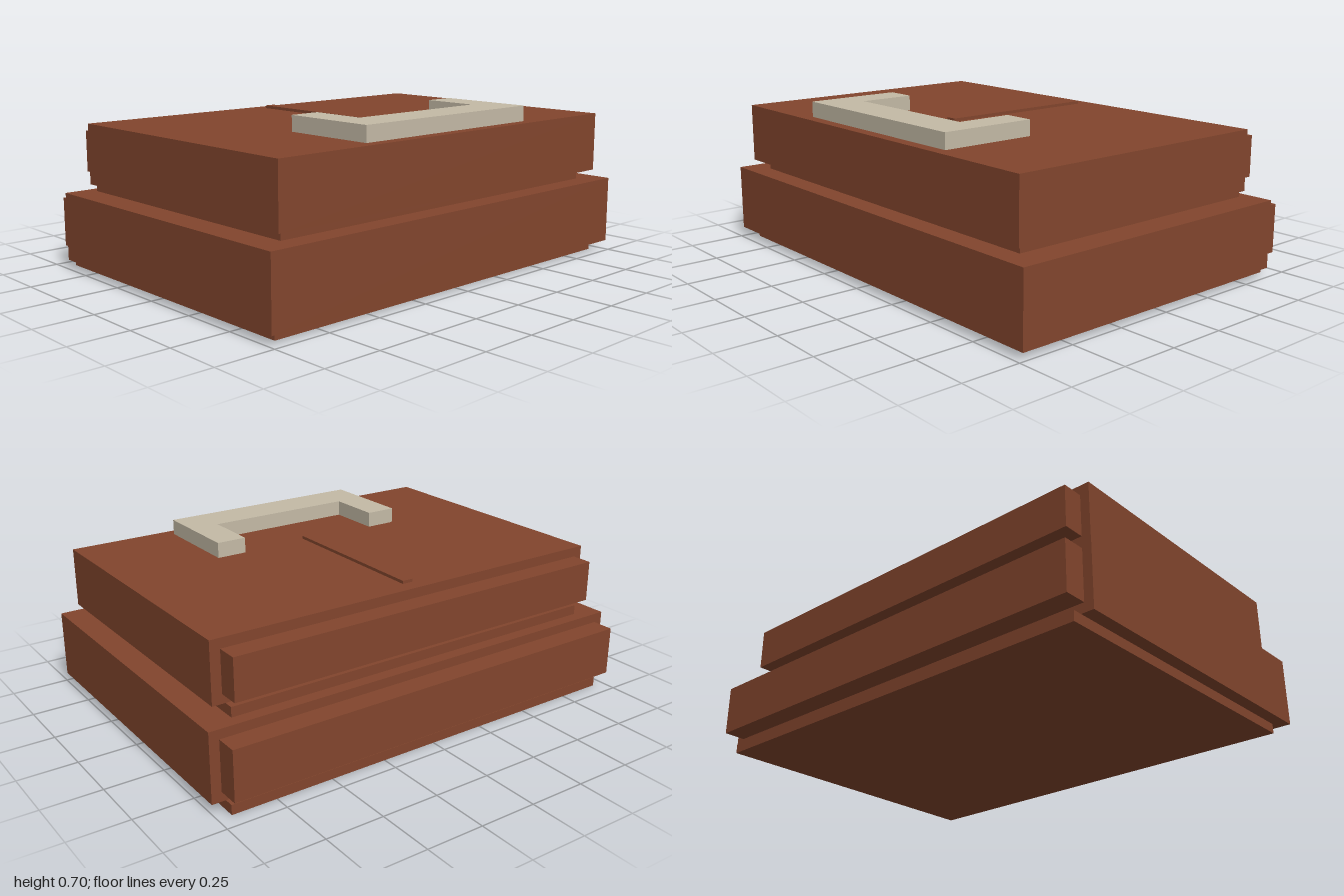
import * as THREE from 'three';

export function createModel() {
  const model = new THREE.Group();
  const brown = new THREE.MeshStandardMaterial({ color: 0x82452d });
  brown.name = 'brown';
  const beige = new THREE.MeshStandardMaterial({ color: 0xc4baa6 });
  beige.name = 'beige';

  // Box given by its minimum and maximum on each axis
  function box(name, [x0, x1], [y0, y1], [z0, z1]) {
    const mesh = new THREE.Mesh(new THREE.BoxGeometry(x1 - x0, y1 - y0, z1 - z0), brown);
    mesh.position.set((x0 + x1) / 2, (y0 + y1) / 2, (z0 + z1) / 2);
    mesh.name = name;
    model.add(mesh);
  }

  // Two stacked blocks, each on a recessed plinth with a bar along the back
  box('basePlinth', [-0.945, 0.942], [0, 0.042], [-0.68, 0.683]);
  box('lowerBlock', [-1, 1], [0.042, 0.335], [-0.64, 0.735]);
  box('lowerBackBar', [-0.96, 0.958], [0.082, 0.295], [-0.735, -0.64]);
  box('neck', [-0.88, 0.877], [0.335, 0.377], [-0.587, 0.642]);
  box('upperBlock', [-0.932, 0.932], [0.377, 0.635], [-0.547, 0.695]);
  box('upperBackBar', [-0.892, 0.889], [0.416, 0.593], [-0.638, -0.547]);

  // Thin ridge on the lid
  box('topRidge', [-0.027, 0.021], [0.635, 0.648], [-0.483, 0.25]);

  // U-shaped handle lying flat on the lid, open towards the back
  const outline = [
    [-0.47, 0.645], [0.466, 0.645], [0.466, 0.225], [0.333, 0.225],
    [0.333, 0.47], [-0.335, 0.47], [-0.335, 0.225], [-0.47, 0.225],
  ];
  const shape = new THREE.Shape(outline.map(([x, z]) => new THREE.Vector2(x, -z)));
  const geometry = new THREE.ExtrudeGeometry(shape, { depth: 0.067, bevelEnabled: false });
  geometry.rotateX(-Math.PI / 2);
  const handle = new THREE.Mesh(geometry, beige);
  handle.position.y = 0.635;
  handle.name = 'handle';
  model.add(handle);

  return model;
}
